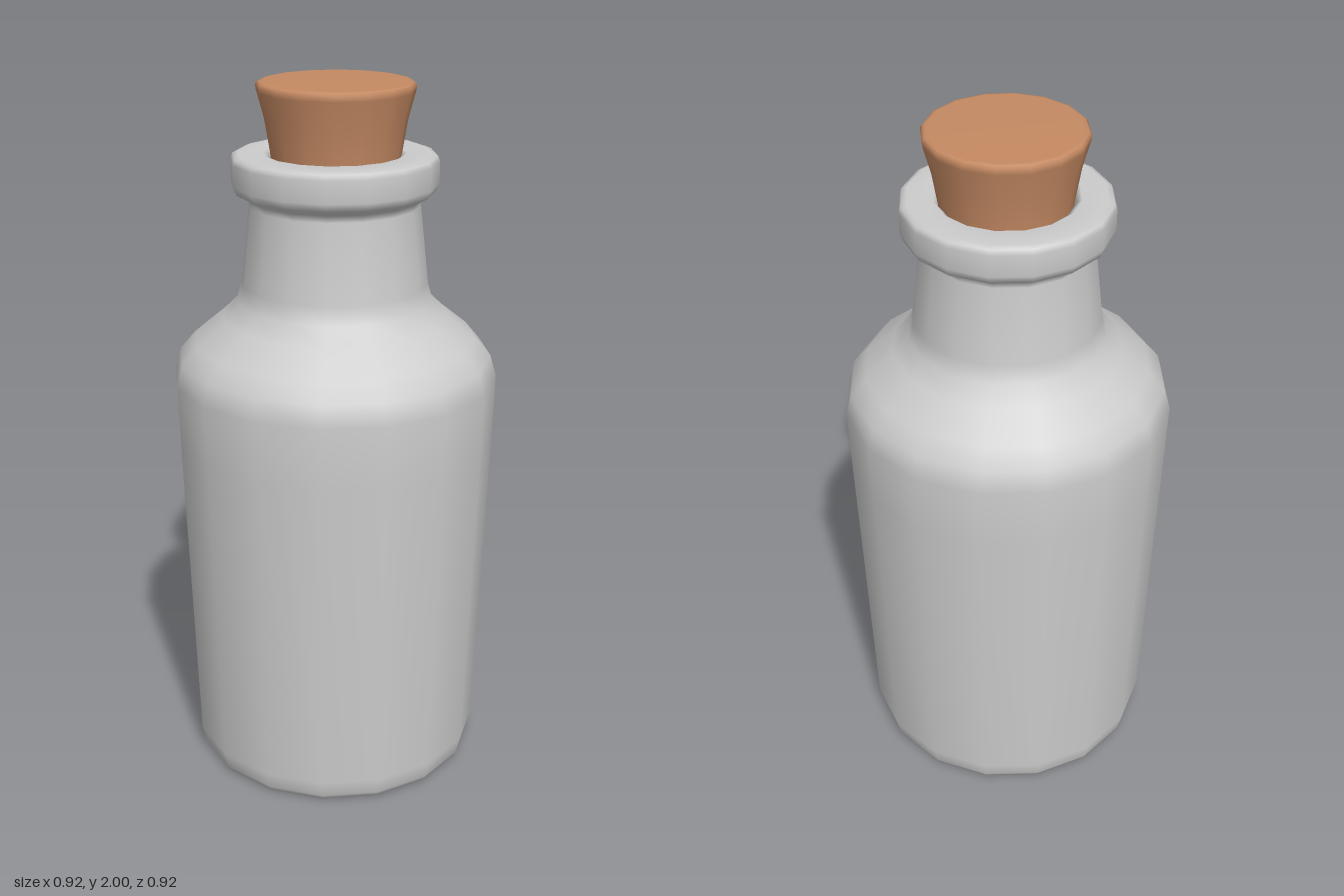
import * as THREE from 'three';

const SIDES = 16;

// Revolve a profile of [radius, height] pairs, listed from bottom to top
function turned(name, profile, material) {
  const points = profile.map(([r, y]) => new THREE.Vector2(r, y));
  const mesh = new THREE.Mesh(new THREE.LatheGeometry(points, SIDES), material);
  mesh.name = name;
  return mesh;
}

export function createModel() {
  const glass = new THREE.MeshStandardMaterial({ color: 0xcccccc });
  glass.name = 'pale grey glass';
  const corkBrown = new THREE.MeshStandardMaterial({ color: 0xc58a63 });
  corkBrown.name = 'cork brown';

  const model = new THREE.Group();
  model.name = 'corkedBottle';

  // Bottle: base, tapered body, shoulder, neck, lip and mouth
  model.add(turned('bottle', [
    [0, 0], [0.385, 0], [0.405, 0.004], [0.413, 0.02], [0.425, 0.07],
    [0.455, 1.0], [0.46, 1.18], [0.443, 1.24], [0.4, 1.29],
    [0.32, 1.355], [0.275, 1.4], [0.261, 1.45], [0.237, 1.67],
    [0.243, 1.69], [0.277, 1.708], [0.286, 1.73],
    [0.286, 1.79], [0.28, 1.804], [0.265, 1.81],
    [0.195, 1.81], [0.18, 1.80], [0.17, 1.74],
  ], glass));

  // Stopper: flared plug, turned slightly in the mouth
  const cork = turned('cork', [
    [0, 1.7], [0.16, 1.7], [0.17, 1.72], [0.18, 1.81], [0.195, 1.9],
    [0.215, 1.975], [0.217, 1.99], [0.21, 1.998], [0.2, 2.0], [0, 2.0],
  ], corkBrown);
  cork.position.z = -0.008;
  cork.rotation.y = 0.055;
  model.add(cork);

  return model;
}
